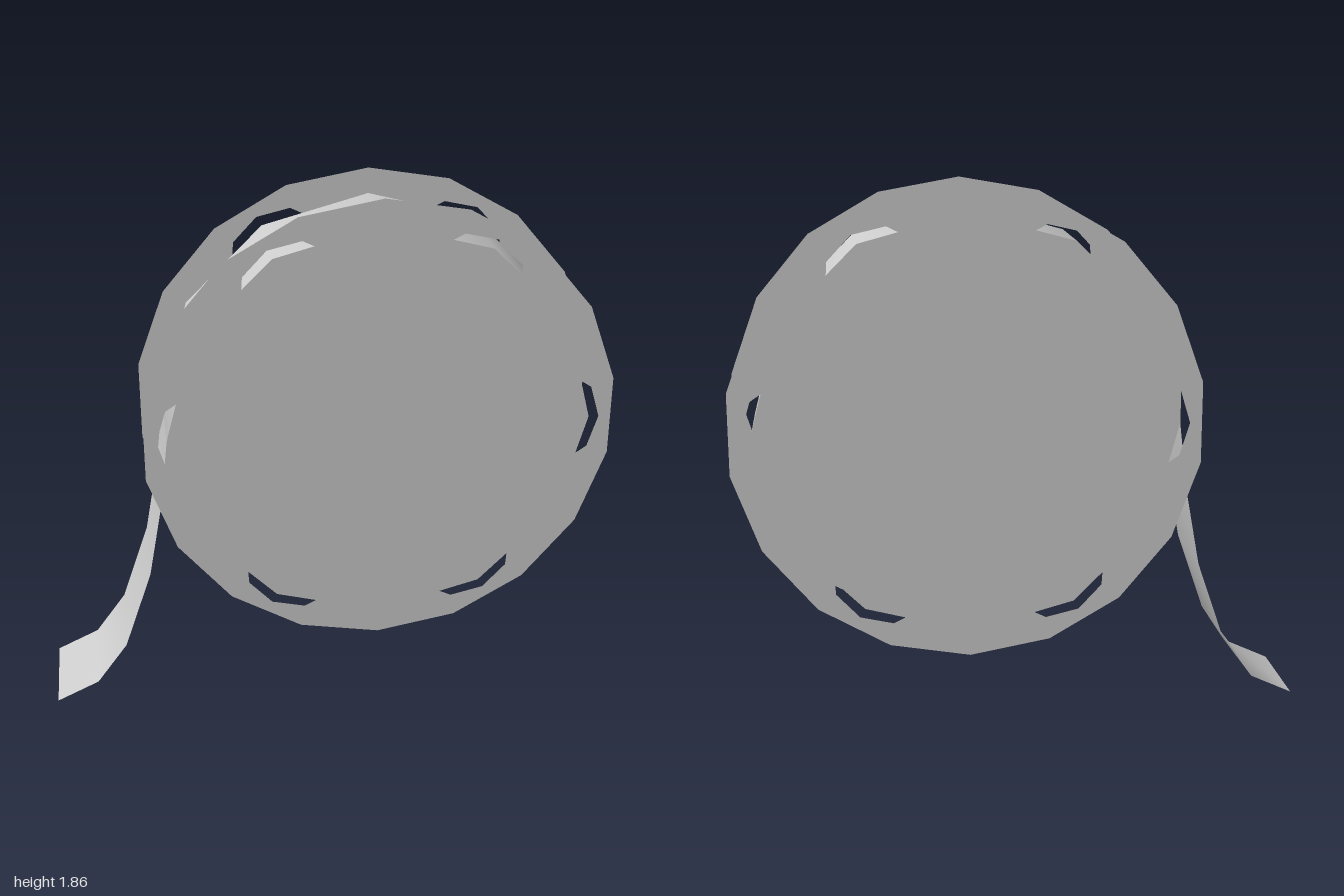
import * as THREE from 'three';

const CX = 0.18, CY = 1.03;          // reel centre
const HALF = 0.17;                   // half the reel width

// flange outline with six teardrop windows
function flangeShape() {
  const rim = [];
  for (let i = 0; i < 18; i++) {
    const a = Math.PI / 2 + (i * Math.PI) / 9;
    rim.push(new THREE.Vector2(0.83 * Math.cos(a), 0.83 * Math.sin(a)));
  }
  const shape = new THREE.Shape(rim);
  const half = [[0.165, 0], [0.21, 0.07], [0.45, 0.178], [0.64, 0.182], [0.74, 0.115], [0.775, 0]];
  const mirrored = half.slice(1, -1).reverse().map(([x, y]) => [x, -y]);
  const petal = [...half, ...mirrored].map(([x, y]) => new THREE.Vector2(x, y));
  const origin = new THREE.Vector2();
  for (let i = 0; i < 6; i++) {
    shape.holes.push(new THREE.Path(petal.map(p => p.clone().rotateAround(origin, (i * Math.PI) / 3))));
  }
  return shape;
}

export function createModel() {
  const model = new THREE.Group();
  model.name = 'filmReel';
  const grey = new THREE.MeshStandardMaterial({ color: 0xcccccc, side: THREE.DoubleSide });
  grey.name = 'light grey';

  const reel = new THREE.Group();
  reel.name = 'reel';
  reel.position.set(CX, CY, 0);
  model.add(reel);

  // thin front and back flanges
  const flangeGeometry = new THREE.ShapeGeometry(flangeShape());
  for (const side of [1, -1]) {
    const flange = new THREE.Mesh(flangeGeometry, grey);
    flange.name = side > 0 ? 'frontFlange' : 'backFlange';
    flange.position.z = side * HALF;
    if (side < 0) flange.rotation.y = Math.PI;
    reel.add(flange);
  }

  // wound film between the flanges
  const rollGeometry = new THREE.CylinderGeometry(0.74, 0.74, 2 * HALF - 0.003, 12);
  rollGeometry.rotateX(Math.PI / 2);
  const roll = new THREE.Mesh(rollGeometry, grey);
  roll.name = 'filmRoll';
  reel.add(roll);

  // loose end of film hanging down and curling outward
  const path = [[-0.56, 1.03], [-0.59, 0.78], [-0.64, 0.51], [-0.74, 0.22], [-0.85, 0.07], [-1, 0]];
  const tailGeometry = new THREE.PlaneGeometry(1, 1, path.length - 1, 1);
  const pos = tailGeometry.attributes.position;
  for (let i = 0; i < pos.count; i++) {
    const [x, y] = path[i % path.length];
    pos.setXYZ(i, x, y, i < path.length ? -HALF : HALF);
  }
  tailGeometry.computeVertexNormals();
  const tail = new THREE.Mesh(tailGeometry, grey);
  tail.name = 'filmTail';
  model.add(tail);

  return model;
}
